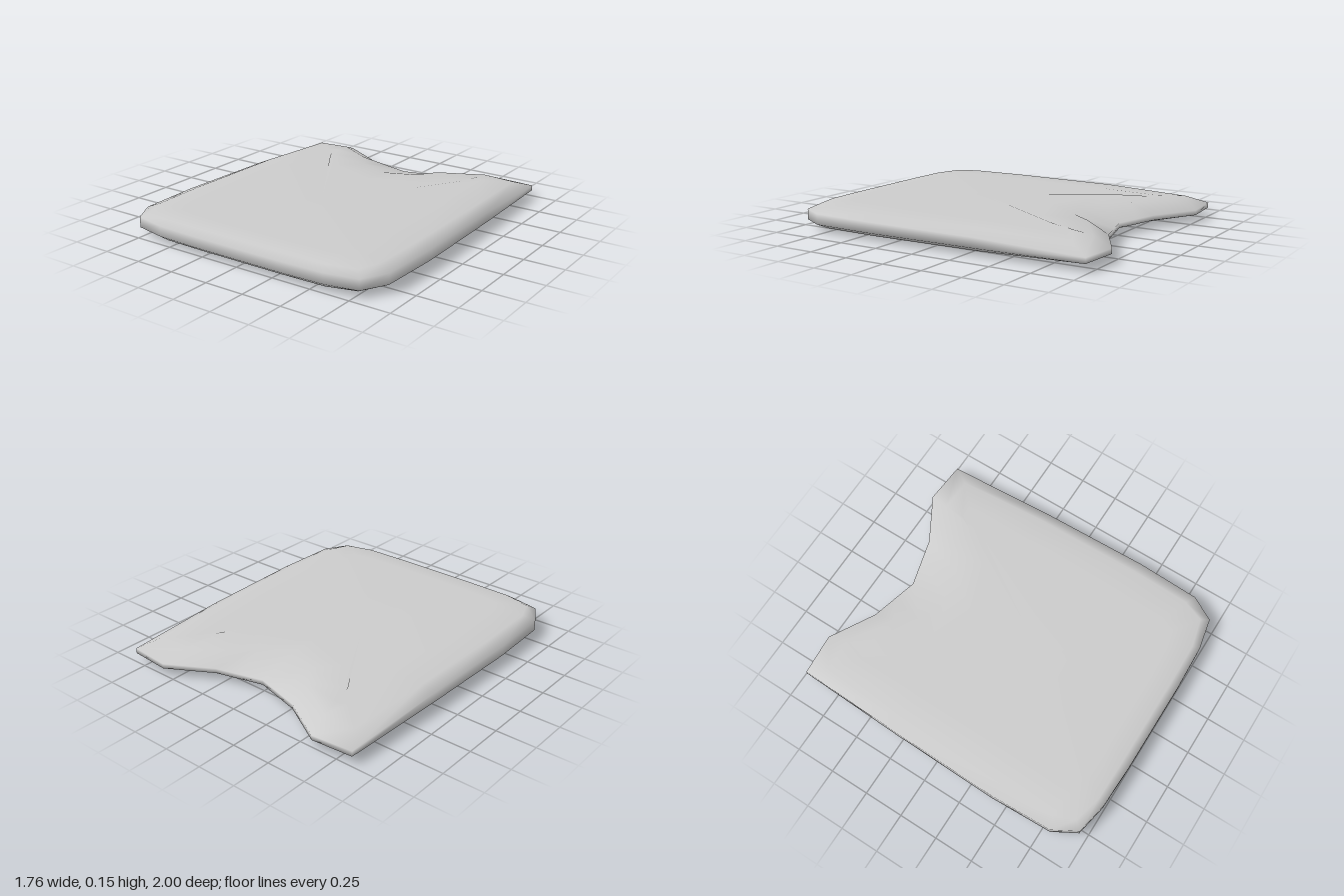
import * as THREE from 'three';

// Stations round half the outline, from the middle of the notch to the middle of the front.
// Each: edge x, z, upper edge height | shoulder x, z, height | inner face x, z, height
const STATIONS = [
  [0, -0.76, 0.075, 0, -0.49, 0.142, 0, -0.3, 0.147],
  [0.15, -0.8, 0.075, 0.2, -0.57, 0.142, 0.33, -0.42, 0.147],
  [0.3, -0.84, 0.075, 0.29, -0.7, 0.14, 0.5, -0.6, 0.145],
  [0.58, -1, 0.075, 0.55, -0.87, 0.126, 0.54, -0.74, 0.139],
  [0.84, -0.98, 0.078, 0.76, -0.86, 0.122, 0.6, -0.72, 0.139],
  [0.865, -0.3, 0.105, 0.79, -0.3, 0.138, 0.6, -0.3, 0.147],
  [0.88, 0.4, 0.11, 0.8, 0.4, 0.14, 0.6, 0.4, 0.15],
  [0.865, 0.8, 0.11, 0.79, 0.77, 0.139, 0.6, 0.7, 0.15],
  [0.78, 0.95, 0.11, 0.74, 0.9, 0.137, 0.57, 0.79, 0.149],
  [0.58, 0.99, 0.11, 0.56, 0.945, 0.139, 0.46, 0.81, 0.15],
  [0.29, 1, 0.11, 0.28, 0.95, 0.14, 0.25, 0.82, 0.15],
  [0, 1, 0.11, 0, 0.95, 0.14, 0, 0.82, 0.15],
];
const THICKNESS = 0.15;

function paddedSlab() {
  // Mirror the stations into a closed loop
  const mirrored = STATIONS.slice(1, -1).reverse()
    .map((s) => s.map((v, i) => (i % 3 === 0 ? -v : v)));
  const loop = [...STATIONS, ...mirrored];
  const n = loop.length;
  const positions = [];
  const index = [];

  // Rings from the top face over the rim to the underside
  const addRing = (level, under) => {
    for (const s of loop) {
      const [x, z, y] = s.slice(level * 3, level * 3 + 3);
      const low = level === 0 ? 0.045 : THICKNESS - y;
      positions.push(x, under ? low : y, z);
    }
  };
  [2, 1, 0].forEach((level) => addRing(level, false));
  [0, 1, 2].forEach((level) => addRing(level, true));

  const top = 6 * n;
  const bottom = top + 1;
  positions.push(0, THICKNESS, 0.2, 0, 0, 0.2);

  for (let i = 0; i < n; i++) {
    const j = (i + 1) % n;
    for (let k = 0; k < 5; k++) {
      const a = k * n + i, b = k * n + j, c = b + n, d = a + n;
      index.push(a, b, c, a, c, d);
    }
    index.push(top, j, i, bottom, 5 * n + i, 5 * n + j);
  }

  const geometry = new THREE.BufferGeometry();
  geometry.setAttribute('position', new THREE.Float32BufferAttribute(positions, 3));
  geometry.setIndex(index);
  geometry.computeVertexNormals();
  return geometry;
}

export function createModel() {
  const model = new THREE.Group();
  model.name = 'notchedPad';
  const material = new THREE.MeshStandardMaterial({ color: 0xcccccc });
  const pad = new THREE.Mesh(paddedSlab(), material);
  pad.name = 'pad';
  model.add(pad);
  return model;
}
